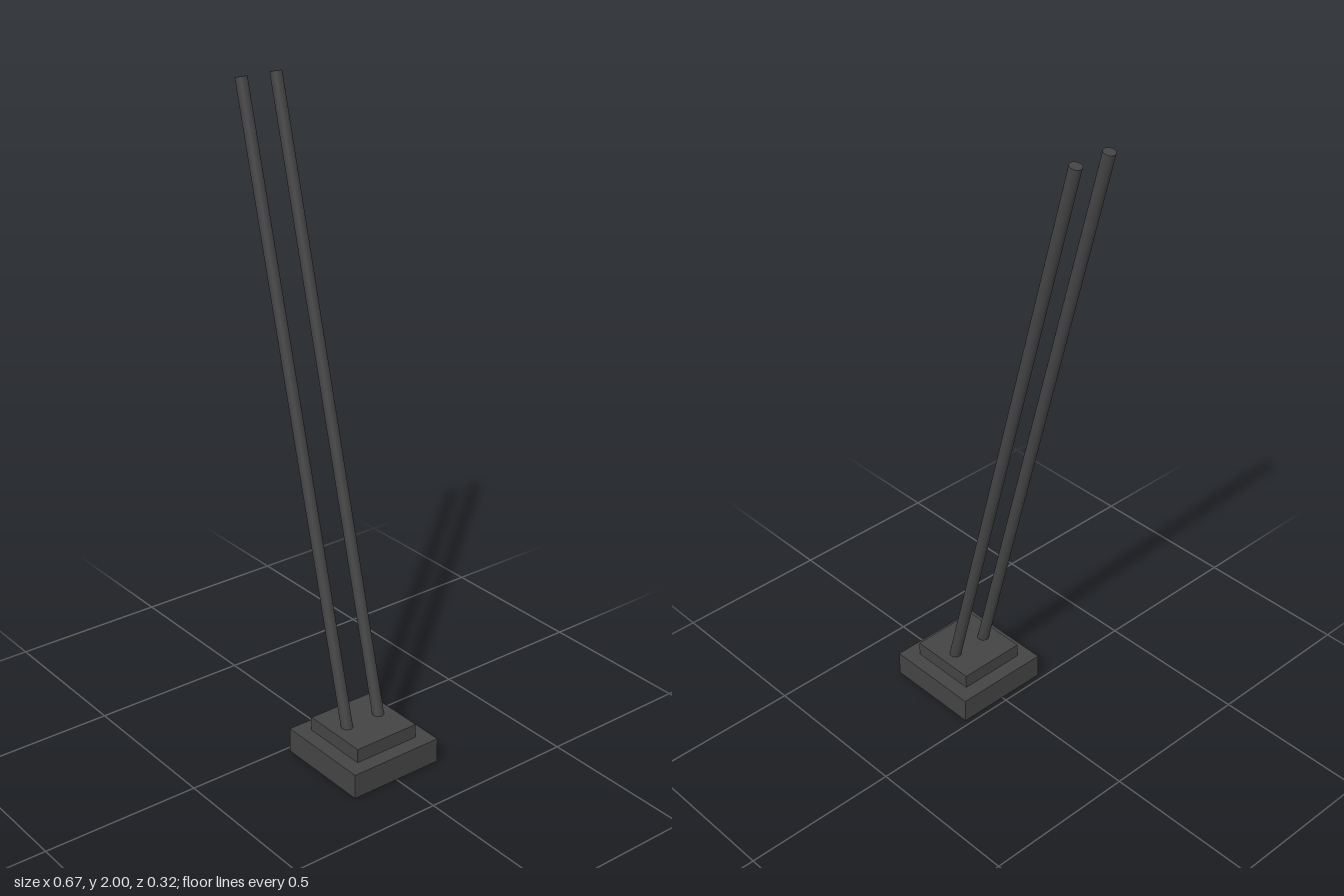
import * as THREE from 'three';

export function createModel() {
  const model = new THREE.Group();
  const dark = new THREE.MeshStandardMaterial({ color: 0x444444 });

  const add = (name, geometry) => {
    const mesh = new THREE.Mesh(geometry, dark);
    mesh.name = name;
    model.add(mesh);
    return mesh;
  };

  // Stepped square foot
  const footX = 0.175;
  add('basePlate', new THREE.BoxGeometry(0.316, 0.08, 0.316)).position.set(footX, 0.04, 0);
  add('upperPlate', new THREE.BoxGeometry(0.222, 0.045, 0.222)).position.set(footX, 0.1025, 0);

  // Two parallel leaning rods, sunk slightly into the upper plate
  const up = new THREE.Vector3(0, 1, 0);
  for (const [name, z] of [['frontRod', 0.059], ['backRod', -0.061]]) {
    const bottom = new THREE.Vector3(0.176, 0.1, z);
    const top = new THREE.Vector3(-0.3156, 1.9955, z);
    const axis = top.clone().sub(bottom);
    const rod = add(name, new THREE.CylinderGeometry(0.018, 0.018, axis.length(), 32));
    rod.position.copy(bottom).add(top).multiplyScalar(0.5);
    rod.quaternion.setFromUnitVectors(up, axis.normalize());
  }

  return model;
}
